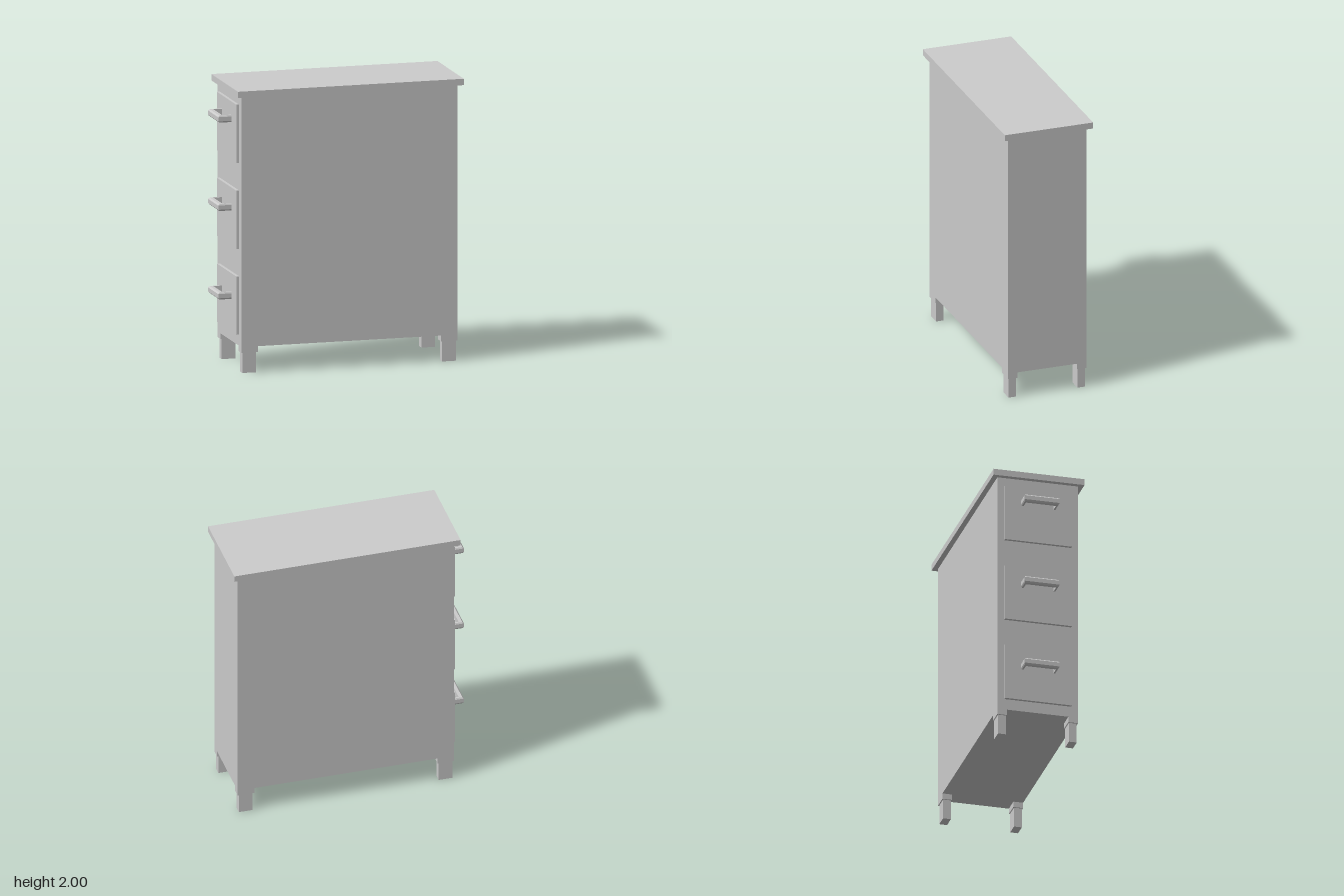
import * as THREE from 'three';

const material = new THREE.MeshStandardMaterial({ color: 0xcccccc, flatShading: true });

// Box given by its min and max on each axis
function box(name, [x0, x1], [y0, y1], [z0, z1]) {
  const mesh = new THREE.Mesh(new THREE.BoxGeometry(x1 - x0, y1 - y0, z1 - z0), material);
  mesh.position.set((x0 + x1) / 2, (y0 + y1) / 2, (z0 + z1) / 2);
  mesh.name = name;
  return mesh;
}

// U-shaped pull with a chamfered outer edge, swept along mitred corners
function handleGeometry() {
  const outerX = -0.86, wallX = -0.76, halfZ = 0.126;
  const barDepth = 0.034, postDepth = 0.018;
  // [depth fraction inward, height]
  const section = [[0, -0.015], [0.3, -0.025], [1, -0.025], [1, 0.025], [0.3, 0.025], [0, 0.015]];
  const stations = [[wallX, 1, 0], [outerX, 1, 1], [outerX, -1, 1], [wallX, -1, 0]];
  const rings = stations.map(([x, side, corner]) => section.map(([d, y]) =>
    [x + corner * d * barDepth, y, side * (halfZ - d * postDepth)]));
  const positions = [];
  for (let i = 0; i < rings.length - 1; i++) {
    for (let j = 0; j < section.length; j++) {
      const k = (j + 1) % section.length;
      const a = rings[i][j], b = rings[i][k], c = rings[i + 1][j], d = rings[i + 1][k];
      positions.push(...a, ...c, ...b, ...c, ...d, ...b);
    }
  }
  const geometry = new THREE.BufferGeometry();
  geometry.setAttribute('position', new THREE.Float32BufferAttribute(positions, 3));
  geometry.computeVertexNormals();
  return geometry;
}

export function createModel() {
  const model = new THREE.Group();
  model.name = 'drawerCabinet';

  // Carcass and overhanging top
  model.add(box('body', [-0.742, 0.822], [0.185, 1.955], [-0.29, 0.29]));
  model.add(box('top', [-0.777, 0.857], [1.955, 2], [-0.327, 0.327]));

  // Stepped legs: a collar under each corner, then a slimmer foot
  for (const [name, x0, x1] of [['right', -0.742, -0.622], ['left', 0.702, 0.822]]) {
    for (const side of [-1, 1]) {
      const leg = new THREE.Group();
      leg.name = name + (side > 0 ? 'FrontLeg' : 'BackLeg');
      const zRange = (a, b) => [side * a, side * b].sort((p, q) => p - q);
      leg.add(box('collar', [x0, x1], [0.144, 0.185], zRange(0.22, 0.29)));
      leg.add(box('foot', [x0 + 0.01, x1 - 0.01], [0, 0.144], zRange(0.227, 0.283)));
      model.add(leg);
    }
  }

  // Three drawers with pulls on the -x end
  const pull = handleGeometry();
  [0.47, 1.077, 1.685].forEach((y, i) => {
    const drawer = new THREE.Group();
    drawer.name = `drawer${i + 1}`;
    drawer.add(box('drawerFront', [-0.763, -0.742], [y - 0.206, y + 0.206], [-0.24, 0.24]));
    const handle = new THREE.Mesh(pull, material);
    handle.name = 'handle';
    handle.position.y = [0.52, 1.146, 1.771][i];
    drawer.add(handle);
    model.add(drawer);
  });

  return model;
}
